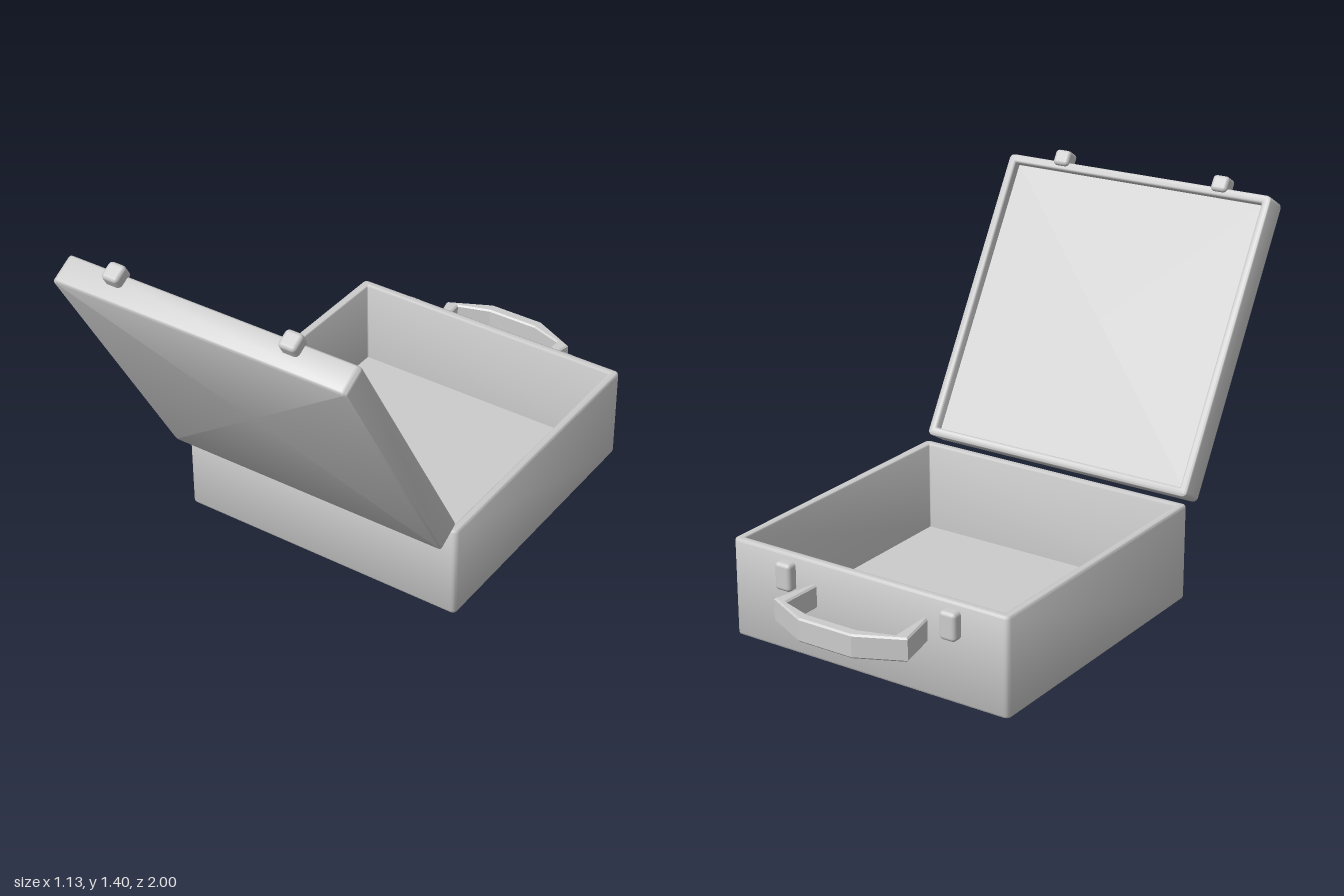
import * as THREE from 'three';
import { toCreasedNormals } from 'three/addons/utils/BufferGeometryUtils.js';
import { RoundedBoxGeometry } from 'three/addons/geometries/RoundedBoxGeometry.js';

const material = new THREE.MeshStandardMaterial({ color: 0xcccccc });

function addMesh(parent, name, geometry, x = 0, y = 0, z = 0) {
  const mesh = new THREE.Mesh(geometry, material);
  mesh.name = name;
  mesh.position.set(x, y, z);
  parent.add(mesh);
  return mesh;
}

// Open tray: rounded rectangles swept along an [inset, height] profile,
// from the middle of the underside, over the rim, to the middle of the floor.
function trayGeometry(width, depth, height, wall, floor) {
  const b = 0.008, steps = 3, radius = 0.018;
  const profile = [
    [null, 0], [b, 0], [b * 0.3, b * 0.3], [0, b],
    [0, height - b], [b * 0.3, height - b * 0.3], [b, height],
    [wall - b, height], [wall - b * 0.3, height - b * 0.3], [wall, height - b],
    [wall, floor], [null, floor],
  ];
  const ring = ([inset, y]) => {
    const points = [];
    for (let c = 0; c < 4; c++) {
      const sx = c === 0 || c === 3 ? 1 : -1, sz = c < 2 ? 1 : -1;
      for (let s = 0; s <= steps; s++) {
        const a = (c + s / steps) * Math.PI / 2;
        if (inset === null) { points.push([0, y, 0]); continue; }
        const r = Math.max(radius - inset, 0.004);
        points.push([
          sx * (width / 2 - inset - r) + r * Math.cos(a), y,
          sz * (depth / 2 - inset - r) + r * Math.sin(a),
        ]);
      }
    }
    return points;
  };
  const rings = profile.map(ring), positions = [];
  for (let j = 0; j < rings.length - 1; j++) {
    const lower = rings[j], upper = rings[j + 1], n = lower.length;
    for (let i = 0; i < n; i++) {
      const k = (i + 1) % n;
      if (profile[j + 1][0] !== null) positions.push(...lower[i], ...upper[i], ...upper[k]);
      if (profile[j][0] !== null) positions.push(...lower[i], ...upper[k], ...lower[k]);
    }
  }
  const geometry = new THREE.BufferGeometry();
  geometry.setAttribute('position', new THREE.Float32BufferAttribute(positions, 3));
  return toCreasedNormals(geometry, 0.9);
}

// Faceted carrying handle, drawn in plan and extruded upward
function handleGeometry() {
  const half = [[0.235, 0.75], [0.273, 0.92], [0.108, 1.0], [0.1, 0.957], [0.222, 0.918], [0.218, 0.75]];
  const outer = half.slice(0, 3), inner = half.slice(3);
  const mirror = (list) => list.map(([x, z]) => [-x, z]).reverse();
  const outline = [...outer, ...mirror(outer), ...mirror(inner), ...inner];
  const bevel = 0.006;
  const shape = new THREE.Shape(outline.map(([x, z]) => new THREE.Vector2(x, z)));
  const geometry = new THREE.ExtrudeGeometry(shape, {
    depth: 0.085 - 2 * bevel, bevelThickness: bevel, bevelSize: bevel,
    bevelOffset: -bevel, bevelSegments: 1,
  });
  geometry.translate(0, 0, bevel);
  geometry.rotateX(-Math.PI / 2);
  return geometry;
}

export function createModel() {
  const model = new THREE.Group();
  model.name = 'openCase';
  const fittingX = -0.012, latchSpread = 0.338;

  // Lower half
  const base = new THREE.Group();
  base.name = 'base';
  model.add(base);
  addMesh(base, 'baseTray', trayGeometry(1.13, 1.13, 0.36, 0.032, 0.022), 0, 0, -0.2);
  addMesh(base, 'handle', handleGeometry(), fittingX, 0.19, 0);

  // Lid, tipped back open
  const lid = new THREE.Group();
  lid.name = 'lid';
  lid.position.set(0, 0.82, 0.725);
  lid.rotation.x = -Math.PI / 3;
  model.add(lid);
  addMesh(lid, 'lidTray', trayGeometry(1.12, 1.12, 0.105, 0.032, 0.07));

  // Latches and their catches
  for (const [side, sign] of [['left', 1], ['right', -1]]) {
    const x = fittingX + sign * latchSpread;
    addMesh(base, side + 'Catch', new RoundedBoxGeometry(0.065, 0.102, 0.06, 3, 0.015), x, 0.285, -0.772);
    addMesh(lid, side + 'Latch', new RoundedBoxGeometry(0.065, 0.066, 0.06, 3, 0.015), x, 0.088, 0.573);
  }
  return model;
}
